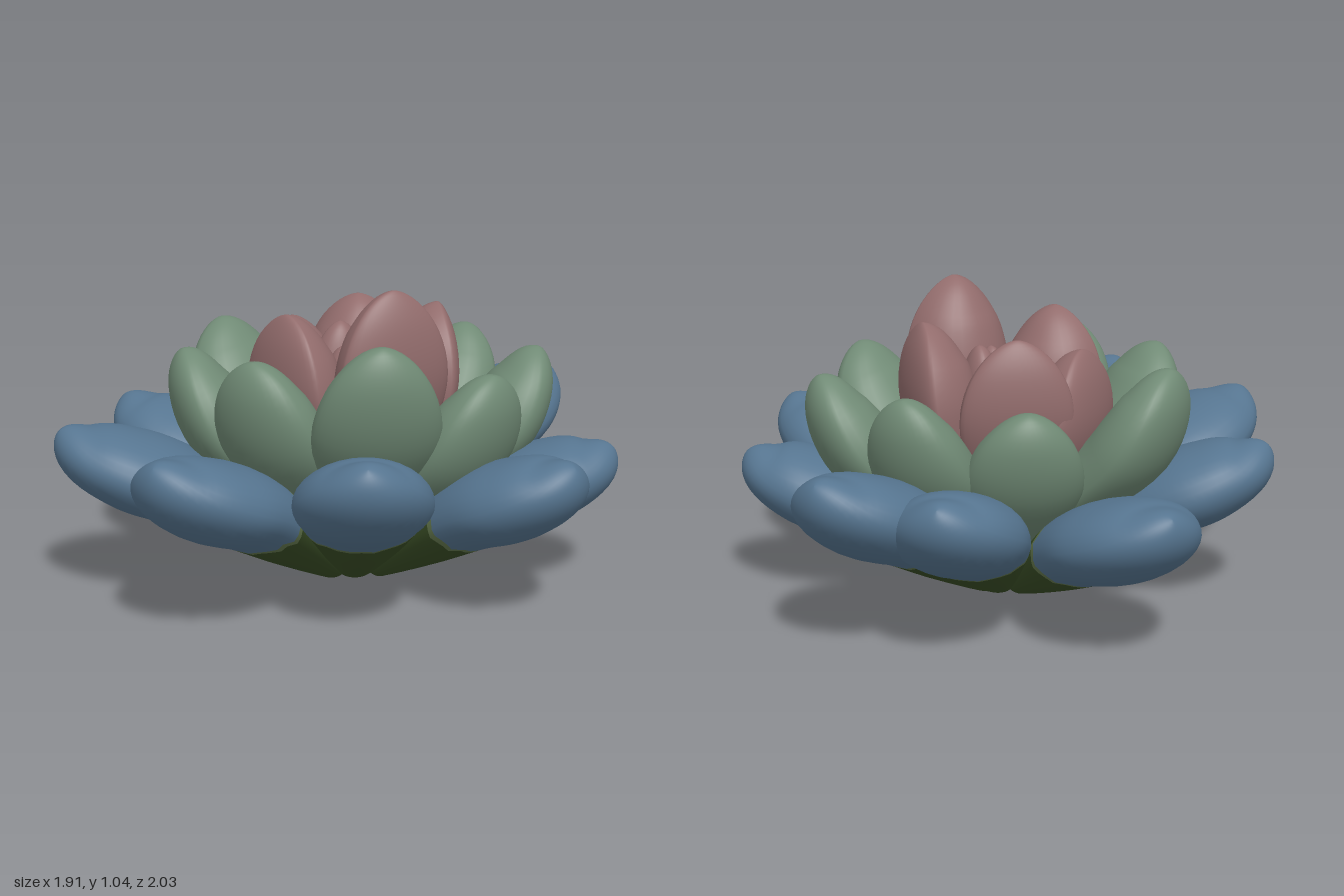
import * as THREE from 'three';

const mat = (name, color) => Object.assign(new THREE.MeshStandardMaterial({ color }), { name });

// Spine shapes as fractions of tip radius and tip height, from base to tip
const SPINES = {
  outer: [[0.14, 0.07], [0.4, 0.37], [0.62, 0.61], [0.8, 0.74], [0.93, 0.86], [1, 1]],
  middle: [[0.1, 0.12], [0.5, 0.42], [0.82, 0.64], [0.95, 0.83], [1, 1]],
  inner: [[0.1, 0.2], [0.7, 0.45], [0.97, 0.68], [1, 0.86], [0.94, 1]],
};

// Leaf fullness along its length: narrow base, full beyond the middle, closed tip
function swell(t, power) {
  const peak = 0.66, base = 0.27;
  if (t < peak) return 1 - (1 - base) * Math.pow(1 - t / peak, 1.5);
  const k = Math.min(1, (t - peak) / (1 - peak));
  return Math.pow(1 - k * k, power);
}

// One fleshy leaf along +x: dark base, thin jagged fringe, coloured blade
function leafGeometry({ spine, under, over, cup, edge, taper }, tipR, tipY, halfWidth) {
  const curve = new THREE.CatmullRomCurve3(
    spine.map(([r, y]) => new THREE.Vector3(r * tipR, y * tipY, 0)));
  const cols = 32, baseRows = 9, bladeRows = 22;
  const ts = [0];
  for (let i = 0; i <= baseRows; i++) ts.push(edge * i / baseRows);
  for (let i = 0; i <= bladeRows; i++) {
    ts.push(edge + 0.025 + (0.975 - edge) * Math.sin(i / bladeRows * Math.PI / 2));
  }
  const pos = [], index = [];
  ts.forEach((t0, i) => {
    const nearEdge = i === baseRows + 1 || i === baseRows + 2;
    for (let j = 0; j < cols; j++) {
      const jag = nearEdge ? 0.014 * Math.sin(j * 2.4) + 0.005 * Math.sin(j * 1.1 + i) : 0;
      const t = Math.min(1, t0 + jag);
      const p = curve.getPointAt(t), d = curve.getTangentAt(t);
      const closed = i === 0 ? 0 : 1;
      const a = j / cols * Math.PI * 2;
      const side = closed * Math.cos(a) * halfWidth * swell(t, taper);
      const up = closed * swell(t, 0.52)
        * (Math.sin(a) * (j < cols / 2 ? over : under) + cup * halfWidth * Math.cos(a) ** 2);
      pos.push(p.x - d.y * up, Math.max(0, p.y + d.x * up), side);
    }
  });
  for (let i = 0; i < ts.length - 1; i++) {
    for (let j = 0; j < cols; j++) {
      const k = (j + 1) % cols;
      const a = i * cols + j, b = i * cols + k, c = a + cols, e = b + cols;
      index.push(a, c, b, b, c, e);
    }
  }
  const g = new THREE.BufferGeometry();
  g.setAttribute('position', new THREE.Float32BufferAttribute(pos, 3));
  g.setIndex(index);
  const perRow = cols * 6, split = baseRows + 1;
  g.addGroup(0, split * perRow, 0);
  g.addGroup(split * perRow, perRow, 1);
  g.addGroup((split + 1) * perRow, index.length - (split + 1) * perRow, 2);
  g.computeVertexNormals();
  return g;
}

export function createModel() {
  const model = new THREE.Group();
  model.name = 'succulent';
  const stem = mat('dark stem green', 0x394d25);
  const fringe = mat('olive fringe', 0x64784e);
  const blue = mat('dusty blue', 0x567590);
  const sage = mat('sage green', 0x708a75);
  const rose = mat('dusky rose', 0x926c6c);
  const heart = mat('mid green', 0x4d6b38);

  // Each leaf: tip x, tip z, tip height, half width
  const rings = [
    { name: 'outerLeaf', spine: SPINES.outer, material: blue, under: 0.125, over: 0.15, cup: 0.03, edge: 0.48, taper: 0.66, leaves: [
      [0, -1, 0.6, 0.235], [-0.35, -0.86, 0.55, 0.22], [-0.92, -0.46, 0.52, 0.24],
      [-0.82, 0.36, 0.55, 0.23], [-0.45, 0.9, 0.59, 0.25], [0.16, 0.99, 0.61, 0.24],
      [0.64, 0.56, 0.62, 0.225], [0.935, -0.05, 0.56, 0.22], [0.71, -0.53, 0.49, 0.22]] },
    { name: 'middleLeaf', spine: SPINES.middle, material: sage, under: 0.1, over: 0.16, cup: 0.04, edge: 0.34, taper: 0.58, leaves: [
      [-0.04, -0.62, 0.79, 0.185], [0.4, -0.5, 0.79, 0.2], [0.61, -0.03, 0.8, 0.205],
      [0.49, 0.35, 0.93, 0.21], [0.1, 0.54, 0.85, 0.205], [-0.32, 0.48, 0.82, 0.22],
      [-0.6, 0.08, 0.83, 0.215], [-0.38, -0.42, 0.75, 0.195]] },
    { name: 'innerLeaf', spine: SPINES.inner, material: rose, under: 0.05, over: 0.2, cup: 0.02, edge: 0.2, taper: 0.6, leaves: [
      [-0.21, -0.23, 0.93, 0.19], [0.18, -0.25, 0.95, 0.195], [0.31, 0.11, 1.05, 0.195],
      [-0.02, 0.3, 0.95, 0.195], [-0.31, 0.02, 0.87, 0.19]] },
    { name: 'heartLeaf', spine: SPINES.inner, material: rose, under: 0.06, over: 0.09, cup: 0.03, edge: 0.2, taper: 0.6, leaves: [
      [-0.11, -0.04, 0.87, 0.115], [0.05, -0.09, 0.86, 0.105], [0.03, 0.08, 0.82, 0.085],
      [0.07, 0.01, 0.84, 0.075]] },
  ];

  for (const ringSpec of rings) {
    const ring = new THREE.Group();
    ring.name = ringSpec.name + 'Ring';
    for (const [x, z, y, w] of ringSpec.leaves) {
      const leaf = new THREE.Mesh(
        leafGeometry(ringSpec, Math.hypot(x, z), y, w), [stem, fringe, ringSpec.material]);
      leaf.name = ringSpec.name;
      leaf.rotation.y = Math.atan2(-z, x);
      ring.add(leaf);
    }
    model.add(ring);
  }

  // Core the leaves grow from, its paler underside showing between their bases
  const core = new THREE.Mesh(new THREE.LatheGeometry(
    [[0, 0.03], [0.12, 0.02], [0.17, 0.12], [0.2, 0.24], [0.14, 0.38], [0, 0.46]]
      .map(([r, y]) => new THREE.Vector2(r, y)), 24), heart);
  core.name = 'core';
  model.add(core);
  return model;
}
